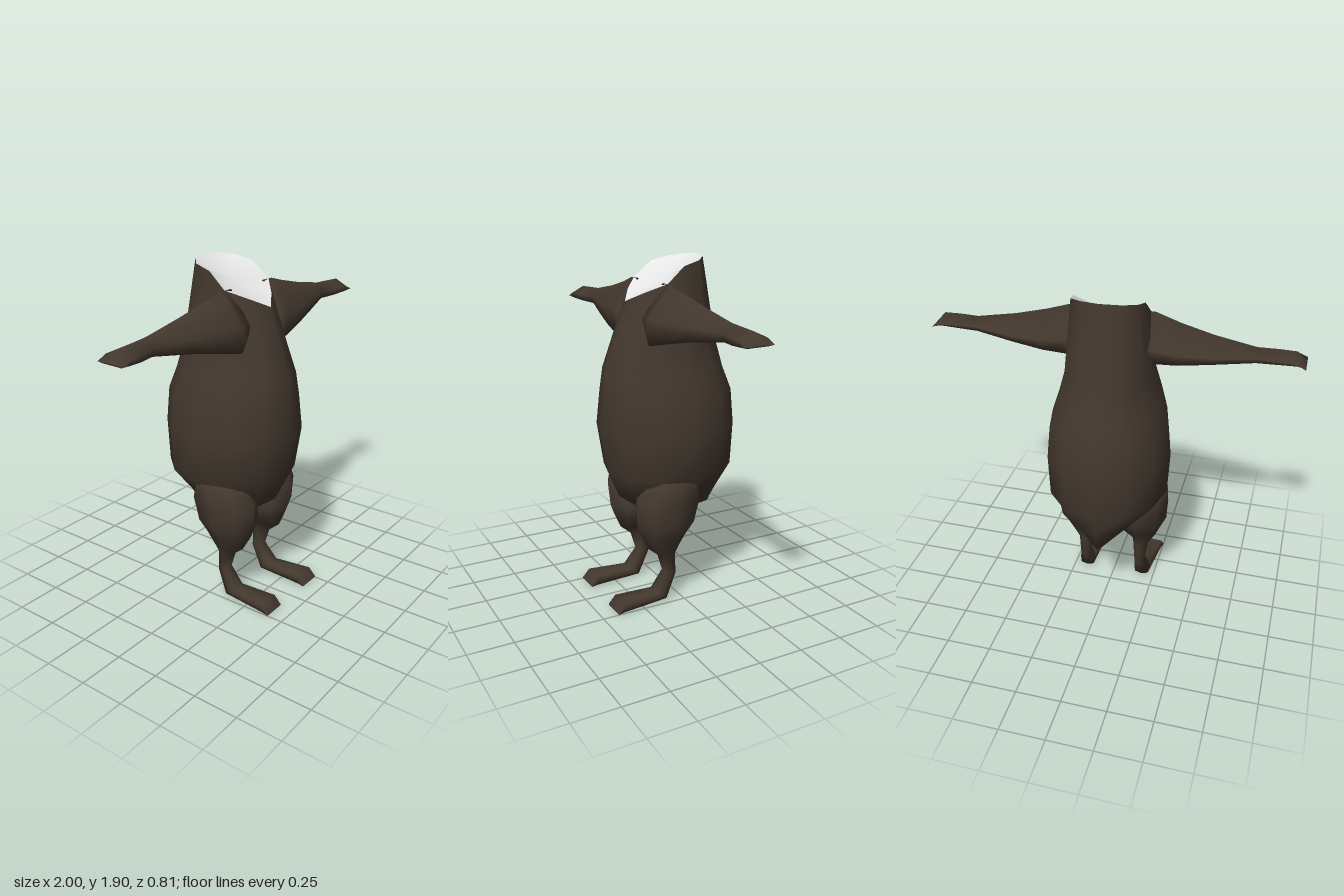
import * as THREE from 'three';

const fur = new THREE.MeshStandardMaterial({ color: 0x43382e });
fur.name = 'dark brown fur';
const pale = new THREE.MeshStandardMaterial({ color: 0xe6e6e6 });
pale.name = 'pale neck';

// Skin a list of rings (equal point counts); caps are fans to the ring centre.
function loft(rings, capStart, capEnd) {
  const n = rings[0].length;
  const pts = rings.flat();
  const index = [];
  for (let r = 0; r < rings.length - 1; r++) {
    for (let i = 0; i < n; i++) {
      const a = r * n + i, b = r * n + (i + 1) % n;
      index.push(a, b, b + n, a, b + n, a + n);
    }
  }
  const cap = (r, flip) => {
    const c = new THREE.Vector3();
    rings[r].forEach((p) => c.addScaledVector(p, 1 / n));
    pts.push(c);
    for (let i = 0; i < n; i++) {
      const a = r * n + i, b = r * n + (i + 1) % n;
      index.push(pts.length - 1, flip ? b : a, flip ? a : b);
    }
  };
  if (capStart) cap(0, true);
  if (capEnd) cap(rings.length - 1, false);

  // Turn every face outward, whichever way the rings run.
  const mid = new THREE.Vector3();
  pts.forEach((p) => mid.addScaledVector(p, 1 / pts.length));
  const q = pts.map((p) => p.clone().sub(mid));
  let volume = 0;
  for (let i = 0; i < index.length; i += 3) {
    volume += q[index[i]].dot(q[index[i + 1]].clone().cross(q[index[i + 2]]));
  }
  if (volume < 0) index.reverse();

  const g = new THREE.BufferGeometry().setFromPoints(pts);
  g.setIndex(index);
  g.computeVertexNormals();
  return g;
}

// Mirrored right half of a ring that starts at the front and ends at the back.
function mirrorRing(half) {
  const other = half.slice(1, -1).reverse().map((p) => new THREE.Vector3(-p.x, p.y, p.z));
  return [...half, ...other];
}

// Slanted rim where the neck is cut: front to back
const rim = mirrorRing([
  [0, 1.67, 0.23], [0.1, 1.72, 0.165], [0.195, 1.77, 0.08], [0.188, 1.855, -0.02],
  [0.17, 1.88, -0.12], [0.1, 1.895, -0.18], [0, 1.902, -0.207],
].map((p) => new THREE.Vector3(...p)));

function bodyGeometry() {
  // y, half width, front z, back z
  const sections = [
    [0.47, 0.05, 0.12, -0.3], [0.59, 0.2, 0.28, -0.325], [0.74, 0.335, 0.345, -0.385],
    [0.98, 0.345, 0.385, -0.4], [1.17, 0.325, 0.365, -0.385], [1.3, 0.285, 0.35, -0.335],
    [1.46, 0.24, 0.295, -0.29],
  ];
  const rings = sections.map(([y, w, f, b]) => {
    const half = [];
    for (let i = 0; i <= 6; i++) {
      const a = (i * Math.PI) / 6;
      half.push(new THREE.Vector3(w * Math.sin(a), y, (f + b) / 2 + ((f - b) / 2) * Math.cos(a)));
    }
    return mirrorRing(half);
  });
  return loft([...rings, rim], true, false);
}

// Shallow dished face closing the neck
function neckGeometry() {
  const g = new THREE.BufferGeometry().setFromPoints([new THREE.Vector3(0, 1.78, 0), ...rim]);
  const index = [];
  for (let i = 0; i < rim.length; i++) index.push(0, i + 1, ((i + 1) % rim.length) + 1);
  g.setIndex(index);
  g.computeVertexNormals();
  return g;
}

function armGeometry(side) {
  const pentagon = [[0.04, 1], [-1, -0.03], [-0.63, -0.68], [0.85, -1], [1, -0.1]];
  // x, top y, bottom y, front z, back z
  const sections = [
    [0.14, 1.77, 1.45, 0.2, -0.05], [0.22, 1.768, 1.465, 0.205, -0.05],
    [0.36, 1.73, 1.495, 0.19, -0.075], [0.53, 1.69, 1.53, 0.155, -0.058],
    [0.75, 1.65, 1.56, 0.09, 0.008], [0.86, 1.647, 1.567, 0.125, -0.004],
    [0.95, 1.643, 1.574, 0.14, -0.012], [1, 1.59, 1.577, 0.142, -0.015],
  ];
  return loft(sections.map(([x, t, b, f, k]) => pentagon.map(([u, v]) => new THREE.Vector3(
    side * x, (t + b) / 2 + (v * (t - b)) / 2, (f + k) / 2 + (u * (f - k)) / 2,
  ))), true, true);
}

function legGeometry(side) {
  // inner x, outer x, front z, front y, back z, back y, squareness power
  const sections = [
    [0.1, 0.325, 0.18, 0.73, -0.06, 0.72, 0.7], [0.04, 0.33, 0.265, 0.6, -0.12, 0.62, 0.9],
    [0.025, 0.32, 0.255, 0.47, -0.085, 0.48, 0.9], [0.04, 0.29, 0.235, 0.41, -0.04, 0.4, 1],
    [0.11, 0.255, 0.19, 0.32, 0.005, 0.33, 1], [0.125, 0.215, 0.13, 0.27, 0.02, 0.27, 1],
    [0.138, 0.2, 0.1, 0.17, 0.013, 0.14, 1], [0.125, 0.225, 0.16, 0.065, 0.09, 0.008, 0.6],
    [0.118, 0.25, 0.372, 0.065, 0.37, 0.004, 0.35], [0.115, 0.255, 0.41, 0.012, 0.408, 0.004, 0.2],
  ];
  const bend = (v, p) => (Math.abs(v) < 1e-6 ? 0 : Math.sign(v) * Math.abs(v) ** p);
  return loft(sections.map(([x0, x1, fz, fy, bz, by, p]) => {
    const ring = [];
    for (let i = 0; i < 8; i++) {
      const a = (i * Math.PI) / 4;
      const t = (1 + bend(Math.cos(a), p)) / 2;
      const s = (1 + bend(Math.sin(a), p)) / 2;
      ring.push(new THREE.Vector3(side * (x0 + (x1 - x0) * s), by + (fy - by) * t, bz + (fz - bz) * t));
    }
    return ring;
  }), true, true);
}

export function createModel() {
  const model = new THREE.Group();
  const add = (name, geometry, material) => {
    const mesh = new THREE.Mesh(geometry, material);
    mesh.name = name;
    model.add(mesh);
  };
  add('body', bodyGeometry(), fur);
  add('neckOpening', neckGeometry(), pale);
  for (const [name, side] of [['left', 1], ['right', -1]]) {
    add(name + 'Arm', armGeometry(side), fur);
    add(name + 'Leg', legGeometry(side), fur);
  }
  return model;
}
